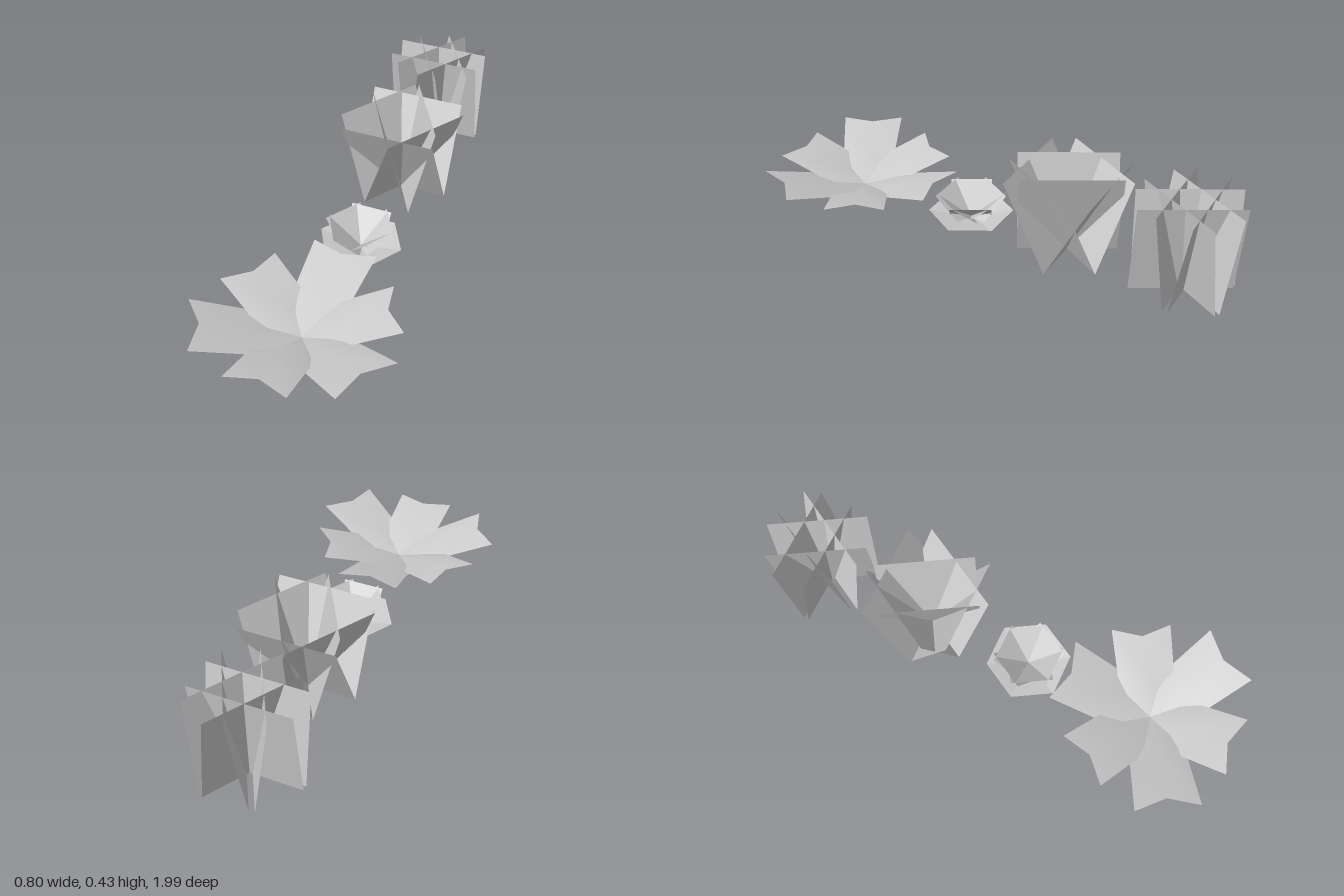
import * as THREE from 'three';

// Surface lofted outwards (towards -z) through rows of points [x, y, z]
function sheet(rows) {
  const cols = rows[0].length;
  const index = [];
  for (let r = 0; r < rows.length - 1; r++) {
    for (let c = 0; c < cols - 1; c++) {
      const a = r * cols + c, b = a + 1, d = a + cols, e = d + 1;
      index.push(a, b, d, b, e, d);
    }
  }
  const geo = new THREE.BufferGeometry();
  geo.setAttribute('position', new THREE.Float32BufferAttribute(rows.flat(2), 3));
  geo.setIndex(index);
  geo.computeVertexNormals();
  return geo;
}

// Flat rectangular blade leaning outwards from the plant's centre
function blade({ half, y0, y1, r0 = 0, r1, shift = 0 }) {
  const row = (y, r) => [[shift - half, y, -r], [shift + half, y, -r]];
  return sheet([row(y0, r0), row(y1, r1)]);
}

// Creased petal: base corners droop, tip is notched in the middle
function petal(length, tipHalf, tipY) {
  const row = (half, edgeY, edgeR, midY, midR) =>
    [[-half, edgeY, -edgeR], [0, midY, -midR], [half, edgeY, -edgeR]];
  return sheet([
    row(0.115, 0.005, 0, 0.045, 0),
    row(0.113, 0.1, length * 0.5, 0.1, length * 0.47),
    row(tipHalf, tipY, length, tipY, length - 0.038),
  ]);
}

export function createModel() {
  const model = new THREE.Group();
  const grey = new THREE.MeshStandardMaterial({ color: 0xcccccc, side: THREE.DoubleSide });
  grey.name = 'pale grey';

  // Six parts in a ring, the first pointing to the back
  function ring(name, partName, z, makePart) {
    const group = new THREE.Group();
    group.name = name;
    group.position.z = z;
    for (let i = 0; i < 6; i++) {
      const mesh = new THREE.Mesh(makePart(i), grey);
      mesh.name = partName;
      mesh.rotation.y = -i * Math.PI / 3;
      group.add(mesh);
    }
    model.add(group);
  }

  // Upright grass clump at the back
  const shifts = [-0.0175, 0.01, 0, 0.0175, 0, 0];
  ring('uprightClump', 'grassBlade', -0.795, (i) =>
    blade({ half: 0.193, y0: 0.057, y1: 0.437, r0: 0.01, r1: 0.066, shift: shifts[i] }));

  // Spreading clump: opposite pairs lean by different amounts
  const leans = [[0.4, 0.175], [0.427, 0.1], [0.408, 0.152]];
  ring('spreadingClump', 'leafBlade', -0.32, (i) => {
    const [y1, r1] = leans[i % 3];
    return blade({ half: 0.193, y0: 0.055, y1, r1 });
  });

  // Small flower: low outer leaves and a steeper inner cup
  ring('flowerLeaves', 'outerLeaf', 0.113, () =>
    blade({ half: 0.085, y0: 0.056, y1: 0.088, r1: 0.147 }));
  ring('flowerCup', 'innerPetal', 0.113, () =>
    blade({ half: 0.083, y0: 0.06, y1: 0.163, r1: 0.114 }));

  // Broad rosette at the front: long and short petals alternate
  ring('rosette', 'broadPetal', 0.645, (i) =>
    i % 2 ? petal(0.347, 0.119, 0.14) : petal(0.387, 0.128, 0.157));

  return model;
}
